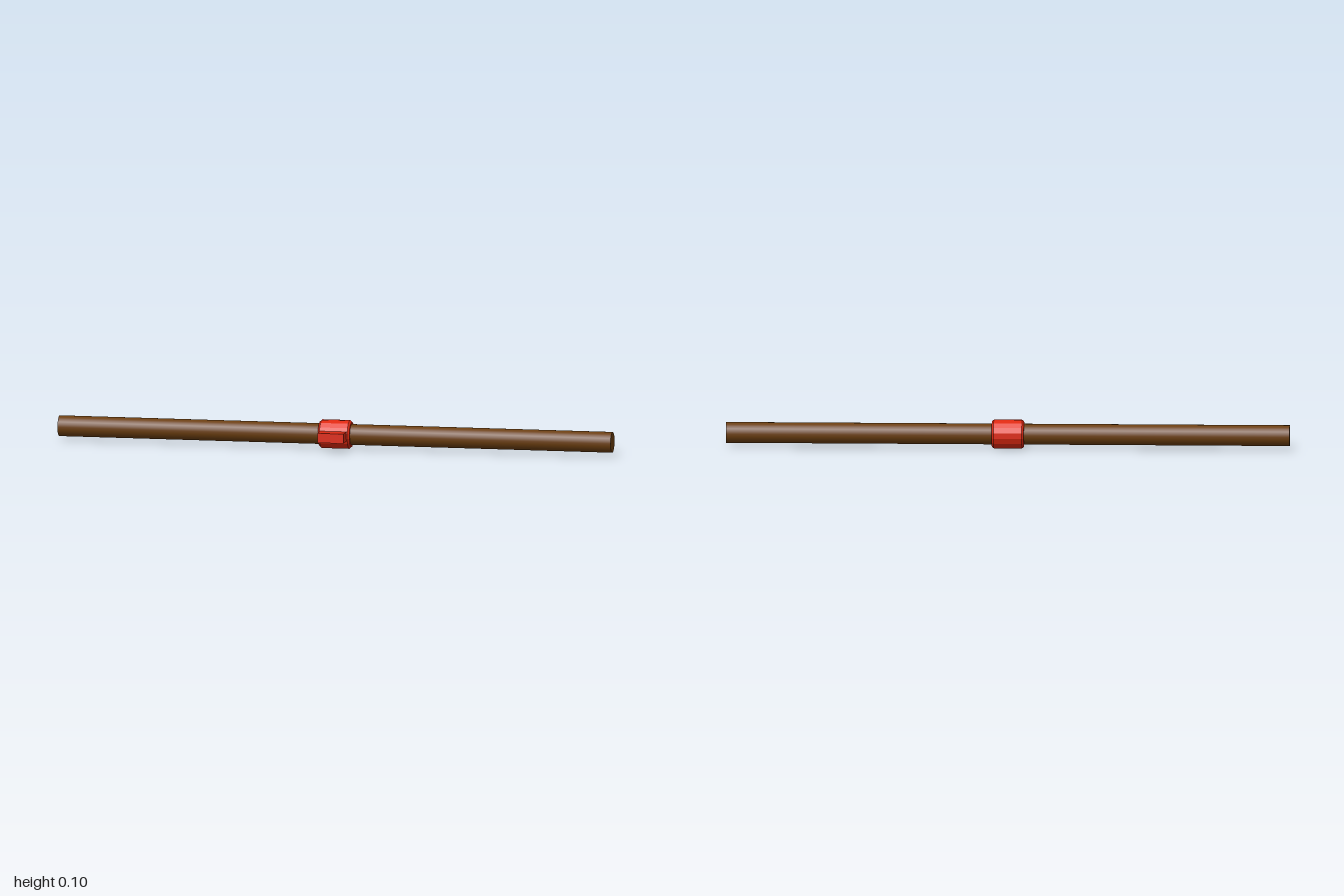
import * as THREE from 'three';

const AXIS_Y = 0.051, AXIS_Z = -0.025;

export function createModel() {
  const model = new THREE.Group();
  const wood = new THREE.MeshStandardMaterial({ color: 0x6b3e10 });
  const red = new THREE.MeshStandardMaterial({ color: 0xdd2810, flatShading: true });

  function add(name, geometry, material, y, z) {
    const mesh = new THREE.Mesh(geometry, material);
    mesh.name = name;
    mesh.position.set(0, y, z);
    model.add(mesh);
    return mesh;
  }

  // Long wooden rod lying along x
  const rod = new THREE.CylinderGeometry(0.037, 0.037, 2, 24).rotateZ(Math.PI / 2);
  add('rod', rod, wood, AXIS_Y, AXIS_Z);

  // Sixteen-sided collar with bevelled rims, closed around the rod
  const profile = [
    [0.036, -0.057], [0.045, -0.057], [0.051, -0.05],
    [0.051, 0.05], [0.045, 0.057], [0.036, 0.057],
  ].map(([r, h]) => new THREE.Vector2(r, h));
  const collar = new THREE.LatheGeometry(profile, 16, Math.PI / 16).rotateZ(Math.PI / 2);
  add('collar', collar, red, AXIS_Y, AXIS_Z);

  // Mounting block projecting forward from the collar
  add('mountingBlock', new THREE.BoxGeometry(0.094, 0.034, 0.077), red, 0.05, 0.0385);

  return model;
}
